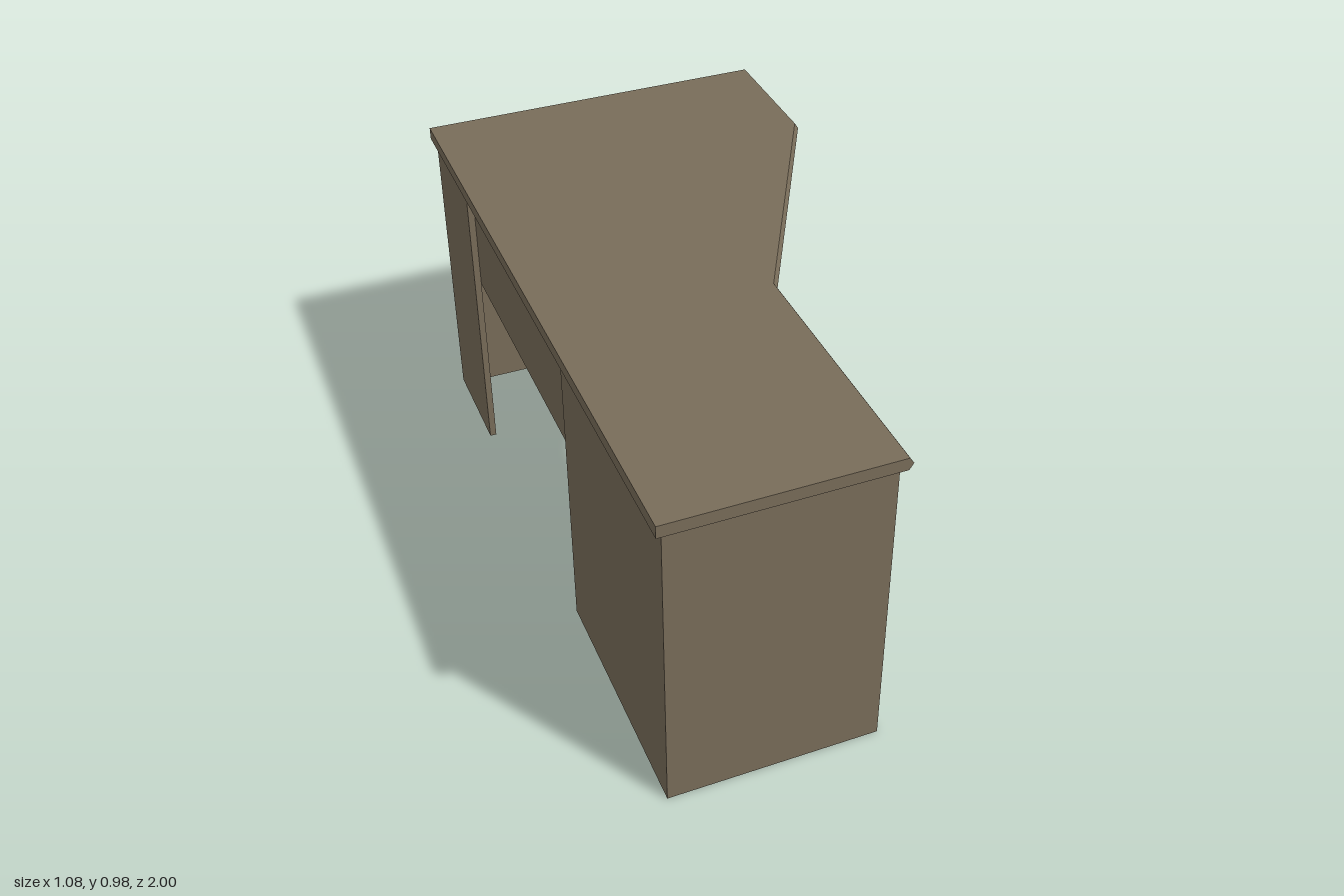
import * as THREE from 'three';

const wood = new THREE.MeshStandardMaterial({ color: 0x786c59, flatShading: true });
const tan = new THREE.MeshStandardMaterial({ color: 0xa88d58, flatShading: true });
const paper = new THREE.MeshStandardMaterial({ color: 0xa3abb2, flatShading: true });
const metal = new THREE.MeshStandardMaterial({ color: 0x8d9299 });

// Box given by its extents on each axis
function panel(parent, name, x0, x1, y0, y1, z0, z1, material = wood) {
  const mesh = new THREE.Mesh(new THREE.BoxGeometry(x1 - x0, y1 - y0, z1 - z0), material);
  mesh.position.set((x0 + x1) / 2, (y0 + y1) / 2, (z0 + z1) / 2);
  mesh.name = name;
  parent.add(mesh);
  return mesh;
}

function group(parent, name) {
  const g = new THREE.Group();
  g.name = name;
  parent.add(g);
  return g;
}

// Angled worktop whose working edge comes to a ridge at mid height
function createTop() {
  const y0 = 0.938, y1 = 0.975, inset = 0.012;
  const outline = [[-0.54, 1], [0.115, 1], [0.115, 0.2], [0.54, -0.6], [0.54, -1], [-0.54, -1]];
  const shape = new THREE.Shape(outline.map(([x, z]) => new THREE.Vector2(x, -z)));
  const geo = new THREE.ExtrudeGeometry(shape, { depth: y1 - y0, steps: 2, bevelEnabled: false });
  geo.rotateX(-Math.PI / 2).translate(0, y0, 0);
  const p = geo.attributes.position;
  for (let i = 0; i < p.count; i++) {
    const atMiddle = Math.abs(p.getY(i) - (y0 + y1) / 2) < 0.005;
    if (p.getX(i) > 0 && !atMiddle) p.setX(i, p.getX(i) - inset);
  }
  geo.computeVertexNormals();
  const mesh = new THREE.Mesh(geo, wood);
  mesh.name = 'desktop';
  return mesh;
}

export function createModel() {
  const desk = new THREE.Group();
  desk.name = 'desk';
  desk.add(createTop());

  // Pedestal cabinet with open shelves
  const cab = group(desk, 'cabinet');
  const back = -0.52, front = 0.09, top = 0.938;
  panel(cab, 'cabinetSideFront', back, front, 0, top, 0.958, 0.98);
  panel(cab, 'cabinetSideRear', back, front, 0, top, 0.235, 0.257);
  panel(cab, 'cabinetBack', back, back + 0.02, 0, top, 0.257, 0.958);
  panel(cab, 'plinth', back + 0.02, front, 0, 0.07, 0.257, 0.958);
  panel(cab, 'shelf', back + 0.02, front - 0.005, 0.762, 0.775, 0.257, 0.958);

  // Drawer with its front and arched handle
  const drawer = group(desk, 'drawer');
  panel(drawer, 'drawerBody', back + 0.02, 0.08, 0.07, 0.53, 0.257, 0.958);
  panel(drawer, 'drawerFront', 0.08, 0.096, 0.08, 0.53, 0.265, 0.95);
  const bow = new THREE.CatmullRomCurve3([
    [0.096, 0.515], [0.108, 0.53], [0.117, 0.57], [0.12, 0.61], [0.117, 0.65], [0.108, 0.69], [0.096, 0.705],
  ].map(([x, z]) => new THREE.Vector3(x, 0.443, z)));
  const handle = new THREE.Mesh(new THREE.TubeGeometry(bow, 24, 0.006, 8), metal);
  handle.name = 'handle';
  drawer.add(handle);

  // Modesty panel and the two corner legs
  panel(desk, 'modestyPanel', -0.505, -0.485, 0.6, top, -0.965, 0.235);
  const left = group(desk, 'frontCornerLeg');
  panel(left, 'legEnd', 0.265, 0.52, 0, top, -0.985, -0.963);
  panel(left, 'legSide', 0.497, 0.52, 0, top, -0.963, -0.75);
  const right = group(desk, 'backCornerLeg');
  panel(right, 'legEnd', -0.525, -0.265, 0, top, -0.985, -0.963);
  panel(right, 'legSide', -0.525, -0.505, 0, top, -0.963, -0.65);

  // Binder on the upper shelf
  const binder = group(desk, 'binder');
  panel(binder, 'binderCover', -0.1, 0.1, 0, 0.03, -0.135, 0.133, tan);
  panel(binder, 'binderSpine', -0.1, 0.1, 0.001, 0.029, 0.133, 0.137, paper);
  binder.position.set(-0.083, 0.775, 0.717);
  binder.rotation.y = 0.38;

  // Two stacked folders above the drawer
  [[0.53, 0.19, 0.24, 0.12], [0.55, 0.17, 0.19, 0.2]].forEach(([y, w, d, turn], i) => {
    const folder = group(desk, 'folder' + (i + 1));
    panel(folder, 'folderPages', -w / 2, w / 2, 0, 0.018, -d / 2, d / 2, paper);
    panel(folder, 'folderCover', -w / 2, w / 2, 0.018, 0.02, -d / 2, d / 2, tan);
    folder.position.set(-0.05, y, 0.717);
    folder.rotation.y = -turn;
  });

  return desk;
}
